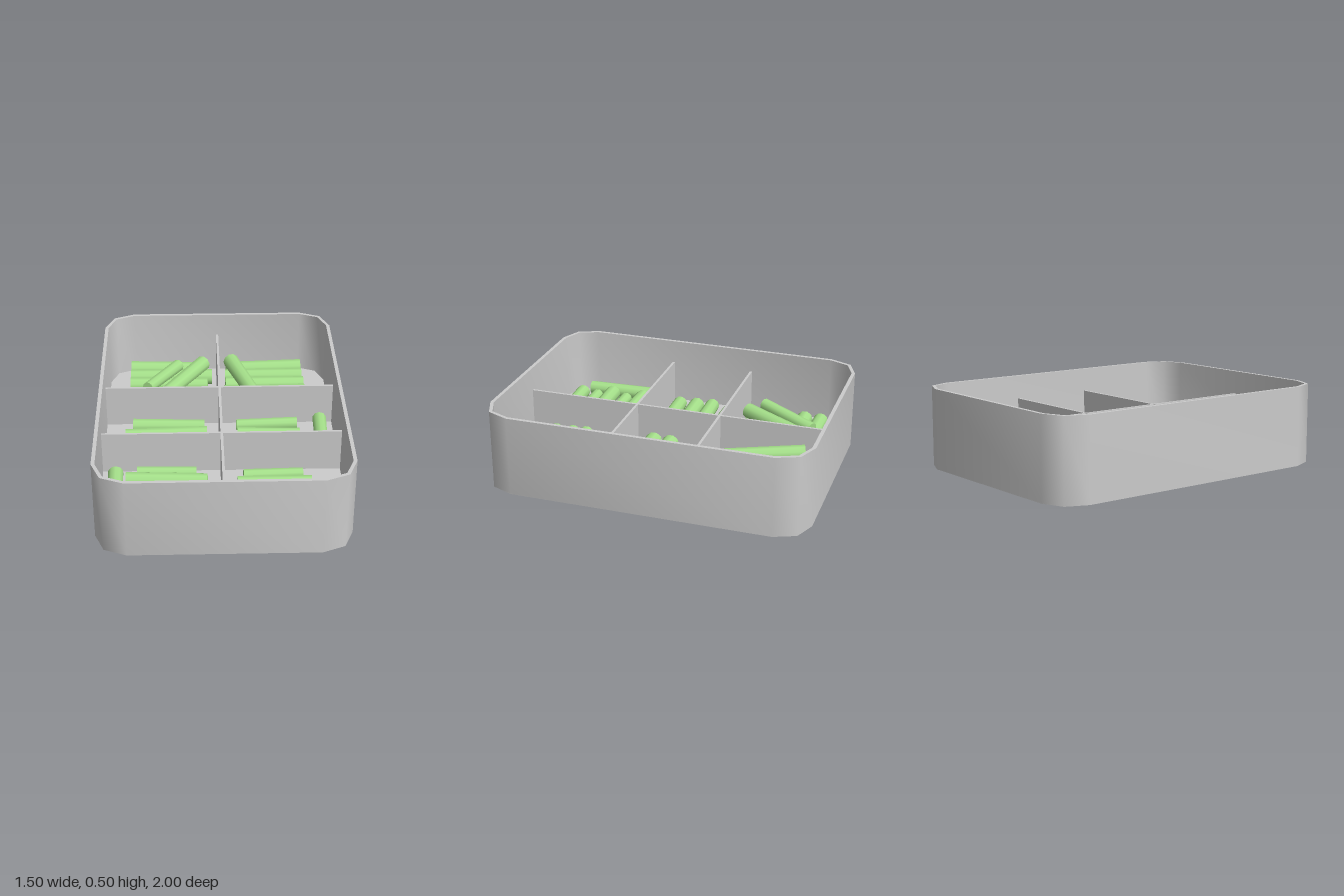
import * as THREE from 'three';
import { toCreasedNormals } from 'three/addons/utils/BufferGeometryUtils.js';

const grey = new THREE.MeshStandardMaterial({ color: 0xcccccc });
const green = new THREE.MeshStandardMaterial({ color: 0xa5e08a });
const HX = 0.75, HZ = 1, HEIGHT = 0.5, WALL = 0.022, FLOOR = 0.08, DIVIDER = 0.35;

// Rounded rectangle with two facets per corner
function outline(inset) {
  const r = 0.19 - inset, pts = [];
  const corners = [[1, 1], [-1, 1], [-1, -1], [1, -1]];
  corners.forEach(([sx, sy], i) => {
    for (let k = 0; k < 3; k++) {
      const a = (i + k / 2) * Math.PI / 2;
      pts.push(new THREE.Vector2(
        sx * (HX - 0.19) + r * Math.cos(a),
        sy * (HZ - 0.19) + r * Math.sin(a)));
    }
  });
  return pts;
}

function upright(shape, depth) {
  const g = new THREE.ExtrudeGeometry(shape, { depth, bevelEnabled: false });
  g.rotateX(-Math.PI / 2);
  return toCreasedNormals(g, 1.0);
}

function add(parent, name, geometry, material) {
  const mesh = new THREE.Mesh(geometry, material);
  mesh.name = name;
  parent.add(mesh);
  return mesh;
}

// Slightly tapered stick between two points, wide end first
function stick(parent, a, b, width) {
  const dir = b.clone().sub(a);
  const r = width / 2;
  const g = new THREE.CylinderGeometry(r * 0.9, r, dir.length(), 10);
  const mesh = add(parent, 'stick', g, green);
  mesh.position.copy(a).add(b).multiplyScalar(0.5);
  mesh.quaternion.setFromUnitVectors(new THREE.Vector3(0, 1, 0), dir.normalize());
}

// Row of sticks lying on the floor: [x1, z1, x2, z2, width]
function sticks(parent, name, rows) {
  const group = new THREE.Group();
  group.name = name;
  for (const [x1, z1, x2, z2, w] of rows) {
    const y = FLOOR + w / 2;
    stick(group, new THREE.Vector3(x1, y, z1), new THREE.Vector3(x2, y, z2), w);
  }
  parent.add(group);
}

export function createModel() {
  const model = new THREE.Group();
  model.name = 'compartmentTray';

  // Walls and floor
  const ring = new THREE.Shape(outline(0));
  ring.holes.push(new THREE.Path(outline(WALL).reverse()));
  add(model, 'walls', upright(ring, HEIGHT), grey);
  add(model, 'floor', upright(new THREE.Shape(outline(WALL / 2)), FLOOR), grey);
  add(model, 'base', upright(new THREE.Shape(outline(0)), 0.004), grey);

  // One long divider and two cross dividers
  const h = DIVIDER - 0.02;
  const long = add(model, 'longDivider', new THREE.BoxGeometry(0.016, h, 2 * HZ - WALL), grey);
  long.position.y = 0.02 + h / 2;
  for (const z of [-0.275, 0.265]) {
    const cross = add(model, 'crossDivider', new THREE.BoxGeometry(2 * HX - WALL, h, 0.016), grey);
    cross.position.set(0, 0.02 + h / 2, z);
  }

  // Sticks in each compartment
  sticks(model, 'backRightSticks', [
    [-0.59, -0.9, -0.07, -0.885, 0.105], [-0.04, -0.78, -0.59, -0.79, 0.105],
    [-0.59, -0.685, -0.07, -0.675, 0.1], [-0.54, -0.57, -0.11, -0.57, 0.085],
    [-0.59, -0.465, -0.07, -0.46, 0.105], [-0.555, -0.36, -0.095, -0.36, 0.09],
  ]);
  sticks(model, 'backLeftSticks', [
    [0.57, -0.9, 0.06, -0.885, 0.105], [0.57, -0.785, 0.05, -0.79, 0.1],
    [0.05, -0.665, 0.575, -0.675, 0.105], [0.04, -0.56, 0.575, -0.575, 0.105],
    [0.065, -0.47, 0.56, -0.455, 0.095], [0.09, -0.345, 0.51, -0.36, 0.08],
  ]);
  sticks(model, 'middleRightSticks', [
    [-0.555, -0.18, -0.1, -0.165, 0.09], [-0.085, -0.065, -0.6, -0.05, 0.1],
    [-0.575, 0.05, -0.08, 0.05, 0.1], [-0.08, 0.155, -0.57, 0.165, 0.1],
  ]);
  sticks(model, 'middleLeftSticks', [
    [0.495, -0.195, 0.105, -0.18, 0.08], [0.11, -0.08, 0.505, -0.07, 0.08],
    [0.04, 0.03, 0.555, 0.04, 0.108], [0.04, 0.14, 0.585, 0.145, 0.11],
    [0.645, -0.24, 0.63, 0.18, 0.09],
  ]);
  sticks(model, 'frontRightSticks', [
    [-0.515, 0.34, -0.155, 0.345, 0.075], [-0.58, 0.435, -0.09, 0.455, 0.1],
    [-0.545, 0.545, -0.135, 0.55, 0.08], [-0.585, 0.655, -0.11, 0.645, 0.1],
    [-0.54, 0.75, -0.14, 0.75, 0.08], [-0.555, 0.86, -0.12, 0.85, 0.09],
    [-0.645, 0.355, -0.635, 0.83, 0.095],
  ]);
  sticks(model, 'frontLeftSticks', [
    [0.13, 0.385, 0.49, 0.37, 0.075], [0.09, 0.48, 0.535, 0.475, 0.09],
    [0.07, 0.585, 0.55, 0.57, 0.1], [0.08, 0.67, 0.56, 0.69, 0.1],
    [0.08, 0.785, 0.53, 0.78, 0.095], [0.12, 0.89, 0.51, 0.88, 0.08],
  ]);

  // Loose sticks lying across the back rows
  const loose = new THREE.Group();
  loose.name = 'looseSticks';
  const across = [
    [-0.27, 0.21, -0.8, -0.465, 0.25, -0.44, 0.085],
    [-0.1, 0.22, -0.81, -0.36, 0.24, -0.36, 0.105],
    [0.09, 0.22, -0.84, 0.26, 0.2, -0.335, 0.105],
  ];
  for (const [x1, y1, z1, x2, y2, z2, w] of across) {
    stick(loose, new THREE.Vector3(x1, y1, z1), new THREE.Vector3(x2, y2, z2), w);
  }
  model.add(loose);
  return model;
}
